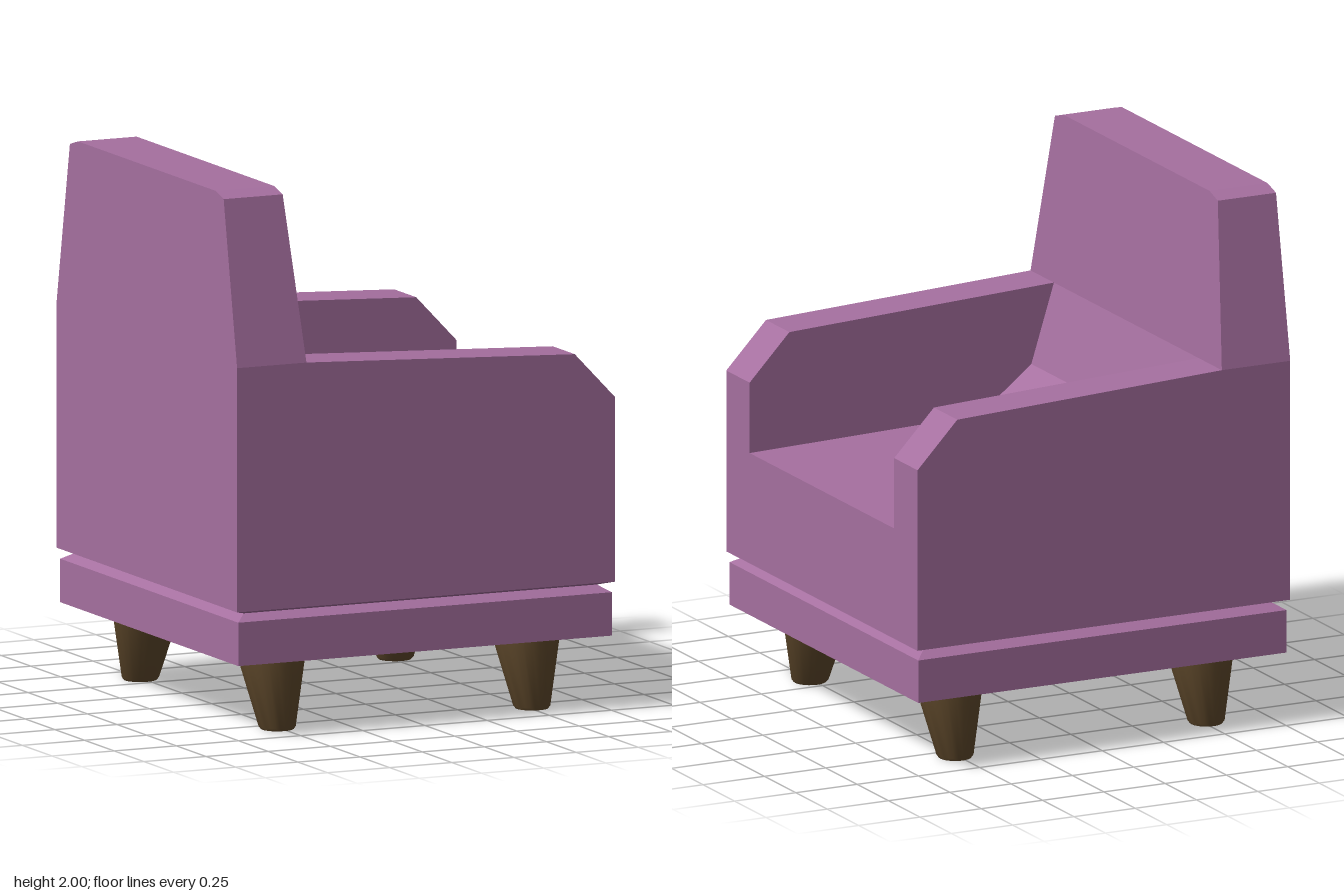
import * as THREE from 'three';
import { toCreasedNormals } from 'three/addons/utils/BufferGeometryUtils.js';

const shapeOf = (pts) => new THREE.Shape(pts.map(([x, y]) => new THREE.Vector2(x, y)));

// Side profile (x, y) extruded between two z positions
function slab(profile, z0, z1) {
  const geo = new THREE.ExtrudeGeometry(shapeOf(profile), { depth: z1 - z0, bevelEnabled: false });
  return geo.translate(0, 0, z0);
}

// Square block whose half width changes from bottom to top
function squareBlock(y0, y1, half0, half1) {
  const geo = new THREE.CylinderGeometry(half1 * Math.SQRT2, half0 * Math.SQRT2, y1 - y0, 4);
  return toCreasedNormals(geo.rotateY(Math.PI / 4).translate(0, (y0 + y1) / 2, 0), 0.1);
}

export function createModel() {
  const group = new THREE.Group();
  const fabric = new THREE.MeshStandardMaterial({ name: 'mauve fabric', color: 0xa56f9f });
  const wood = new THREE.MeshStandardMaterial({ name: 'brown wood', color: 0x614a2c });

  const add = (name, geo, material) => {
    const mesh = new THREE.Mesh(geo, material);
    mesh.name = name;
    group.add(mesh);
    return mesh;
  };

  // Base plinth and the groove beneath the body
  add('base', squareBlock(0.275, 0.435, 0.751, 0.751), fabric);
  add('baseBevel', squareBlock(0.435, 0.46, 0.751, 0.71), fabric);
  add('bodyBevel', squareBlock(0.46, 0.475, 0.71, 0.761), fabric);

  // Arms, running the full depth of the chair
  const armProfile = [[-0.761, 0.475], [0.759, 0.475], [0.759, 1.155], [0.597, 1.325], [-0.482, 1.375], [-0.761, 1.375]];
  add('leftArm', slab(armProfile, -0.761, -0.575), fabric);
  add('rightArm', slab(armProfile, 0.575, 0.761), fabric);

  // Seat with its sloping rear and lower back
  const seatProfile = [[-0.761, 0.475], [0.759, 0.475], [0.759, 0.89], [-0.18, 0.915], [-0.39, 1.08], [-0.482, 1.375], [-0.761, 1.375]];
  add('seat', slab(seatProfile, -0.575, 0.575), fabric);

  // Backrest: tapered outline, with a front face that leans back
  const outline = [[-0.761, 1.375], [0.761, 1.375], [0.648, 1.98], [0.58, 2], [-0.58, 2], [-0.648, 1.98]];
  const back = new THREE.ExtrudeGeometry(shapeOf(outline), { depth: 1, bevelEnabled: false });
  back.rotateY(Math.PI / 2);
  const bp = back.attributes.position;
  for (let i = 0; i < bp.count; i++) {
    const front = THREE.MathUtils.mapLinear(bp.getY(i), 1.375, 2, -0.482, -0.525);
    bp.setX(i, THREE.MathUtils.lerp(-0.761, front, bp.getX(i)));
  }
  back.computeVertexNormals();
  add('backrest', back, fabric);

  // Round tapered legs, splayed sideways
  const legProfile = [[0, 0], [0.06, 0], [0.068, 0.01], [0.128, 0.277]].map(([r, y]) => new THREE.Vector2(r, y));
  for (const sx of [-1, 1]) {
    for (const sz of [-1, 1]) {
      const leg = new THREE.LatheGeometry(legProfile, 24);
      const p = leg.attributes.position;
      for (let i = 0; i < p.count; i++) {
        p.setZ(i, p.getZ(i) + sz * 0.056 * (1 - p.getY(i) / 0.277));
      }
      const name = (sx > 0 ? 'front' : 'rear') + (sz > 0 ? 'Right' : 'Left') + 'Leg';
      add(name, toCreasedNormals(leg, 0.6), wood).position.set(sx * 0.512, 0, sz * 0.522);
    }
  }
  return group;
}
